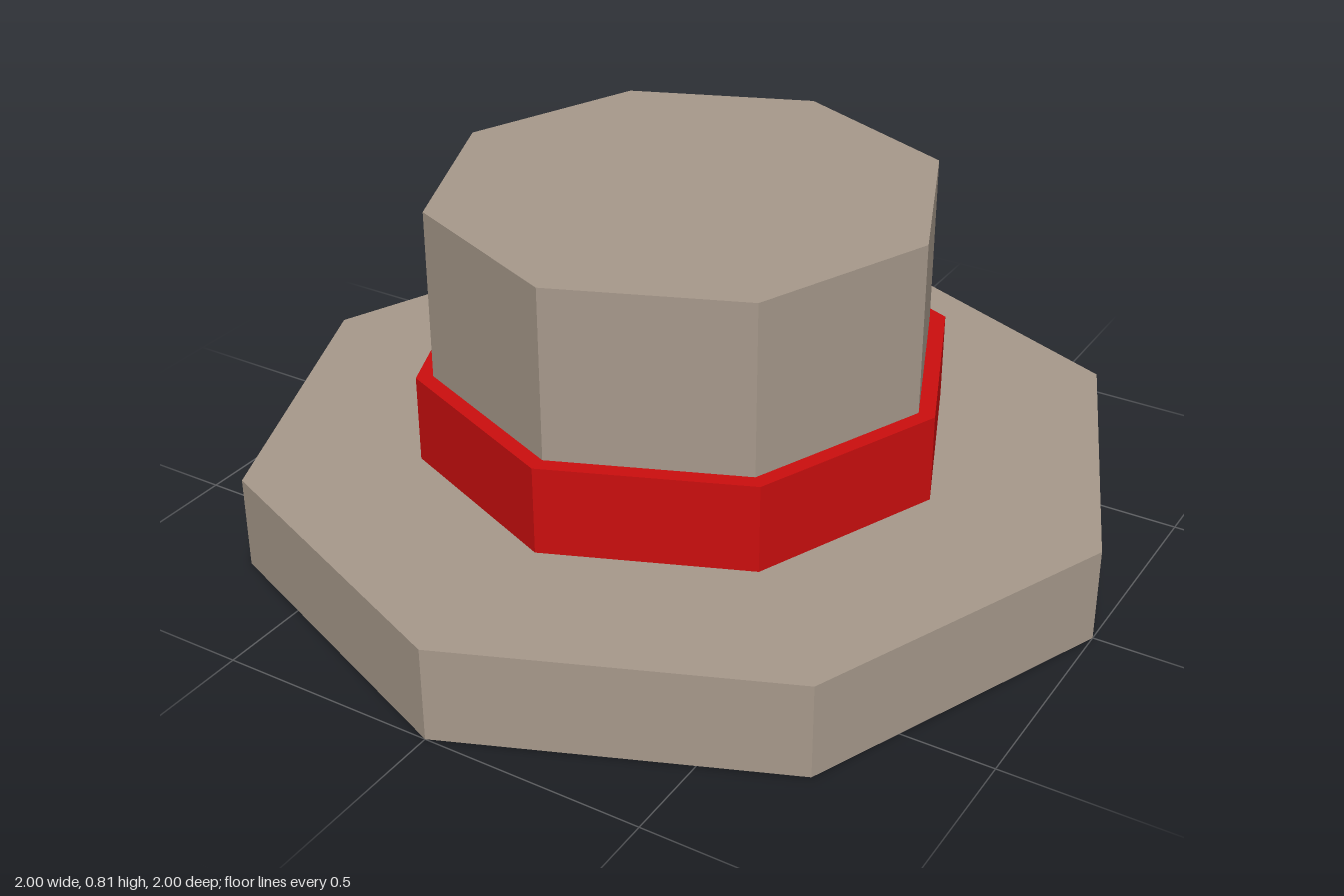
import * as THREE from 'three';

const SIDES = 8;

// Revolves a [radius, height] profile into an eight-sided faceted part.
function octagonal(name, profile, material) {
  const points = profile.map(([r, y]) => new THREE.Vector2(r, y));
  const geometry = new THREE.LatheGeometry(points, SIDES).toNonIndexed();
  geometry.computeVertexNormals();
  const mesh = new THREE.Mesh(geometry, material);
  mesh.name = name;
  return mesh;
}

export function createModel() {
  const felt = new THREE.MeshStandardMaterial({ color: 0xa89a8c, flatShading: true });
  felt.name = 'taupe felt';
  const ribbon = new THREE.MeshStandardMaterial({ color: 0xcc0e0e, flatShading: true });
  ribbon.name = 'red ribbon';

  const hat = new THREE.Group();
  hat.name = 'hat';
  hat.add(
    // Tapered hollow for the head, open at the bottom
    octagonal('headHollow', [[0, 0.46], [0.49, 0.46], [0.605, 0]], felt),
    // Wide thick brim
    octagonal('brim', [[0.605, 0], [1, 0], [1, 0.217], [0.608, 0.217]], felt),
    // Band standing slightly proud of the crown
    octagonal('band', [[0.608, 0.217], [0.608, 0.42], [0.57, 0.42]], ribbon),
    // Straight crown with a flat top
    octagonal('crown', [[0.57, 0.42], [0.57, 0.812], [0, 0.812]], felt)
  );
  return hat;
}
